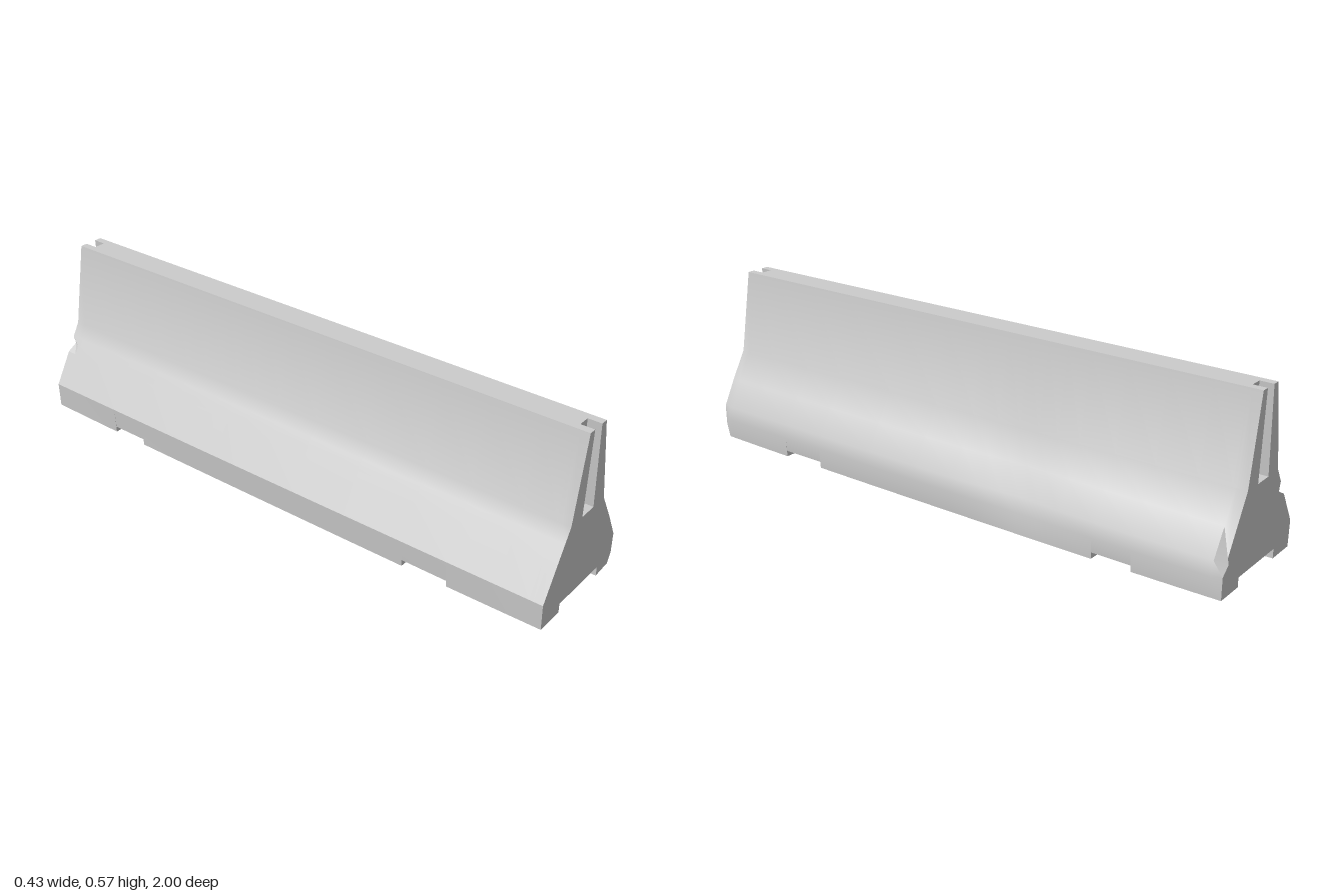
import * as THREE from 'three';
import { toCreasedNormals } from 'three/addons/utils/BufferGeometryUtils.js';

const END = 1, SLOT_Z = 0.955;

// Cross-section at depth z, counter-clockwise seen from the front.
// slot: end groove is open here; notch: feet are cut away here.
function section(z, slot, notch) {
  const bulge = 0.003 * (1 - z * z);
  const foot = notch ? 0.022 : 0.006 * Math.abs(z) ** 3;
  const roof = 0.031 + 0.006 * z * z;
  const dent = 0.012 * Math.exp(-(((z + 0.3) / 0.16) ** 2));
  const [slotX, slotY] = slot ? [0.032, 0.295] : [0.02, 0.575];

  const p = {
    footR: [0.209, foot],
    lowR: [0.211 + bulge - dent * 0.5, 0.07],
    kneeR: [0.2 + bulge - dent, 0.115],
    slopeR: [0.149 + bulge - dent * 0.6, 0.2],
    waistR: [0.0933, 0.295],
    topR: [0.045, 0.575],
    lipR: [0.02, 0.575],
    slotR: [slotX, slotY],
    slotL: [-slotX, slotY],
    lipL: [-0.02, 0.575],
    topL: [-0.045, 0.575],
    waistL: [-0.0933, 0.295],
    chipTopL: [-0.1195 - bulge, 0.25],
    chipL: [-0.134 - bulge, 0.225],
    chipLowL: [-0.1487 - bulge, 0.2],
    kneeL: [-0.2116 - bulge, 0.092],
    footL: [-0.209, foot],
    innerL: [-0.11, foot],
    roofL: [-0.11, roof],
    roofR: [0.11, roof],
    innerR: [0.11, foot],
  };

  // Broken corner at the front, knocked edges at the back
  if (z === END) {
    p.footR = [0.178, 0.012];
    p.lowR = [0.194, 0.045];
    p.kneeR = [0.195, 0.113];
  } else if (z === -END) {
    p.lowR = [0.209, 0.078];
    p.kneeR = [0.178, 0.105];
    p.slopeR = [0.186, 0.128];
    p.chipL = [-0.112, 0.22];
  }
  return Object.values(p).map(([x, y]) => new THREE.Vector3(x, y, z));
}

// Stations from front to back; a repeated z makes a vertical step.
function stations() {
  const list = [];
  const add = (slot, notch, ...zs) => zs.forEach((z) => list.push(section(z, slot, notch)));
  add(true, false, 1, 0.97, SLOT_Z);
  add(false, false, SLOT_Z, 0.85, 0.68);
  add(false, true, 0.68, 0.52);
  add(false, false, 0.52, 0.3, 0.1, -0.05, -0.15, -0.23, -0.3, -0.37, -0.45, -0.575);
  add(false, true, -0.575, -0.71);
  add(false, false, -0.71, -0.85, -SLOT_Z);
  add(true, false, -SLOT_Z, -0.965, -1);
  return list;
}

function barrierGeometry() {
  const rings = stations();
  const out = [];
  const tri = (a, b, c) => {
    const area = b.clone().sub(a).cross(c.clone().sub(a)).length();
    if (area > 1e-8) out.push(...a, ...b, ...c);
  };

  // Skin between neighbouring sections
  for (let s = 0; s < rings.length - 1; s++) {
    const a = rings[s], b = rings[s + 1];
    for (let i = 0; i < a.length; i++) {
      const j = (i + 1) % a.length;
      tri(a[i], b[i], a[j]);
      tri(a[j], b[i], b[j]);
    }
  }

  // End faces
  const cap = (ring, flip) => {
    const flat = ring.map((v) => new THREE.Vector2(v.x, v.y));
    for (const [i, j, k] of THREE.ShapeUtils.triangulateShape(flat, [])) {
      if (flip) tri(ring[i], ring[k], ring[j]);
      else tri(ring[i], ring[j], ring[k]);
    }
  };
  cap(rings[0], false);
  cap(rings[rings.length - 1], true);

  const geometry = new THREE.BufferGeometry();
  geometry.setAttribute('position', new THREE.Float32BufferAttribute(out, 3));
  return toCreasedNormals(geometry, THREE.MathUtils.degToRad(25));
}

export function createModel() {
  const group = new THREE.Group();
  group.name = 'roadBarrier';
  const concrete = new THREE.MeshStandardMaterial({ color: 0xcccccc });
  const body = new THREE.Mesh(barrierGeometry(), concrete);
  body.name = 'concreteBody';
  group.add(body);
  return group;
}
